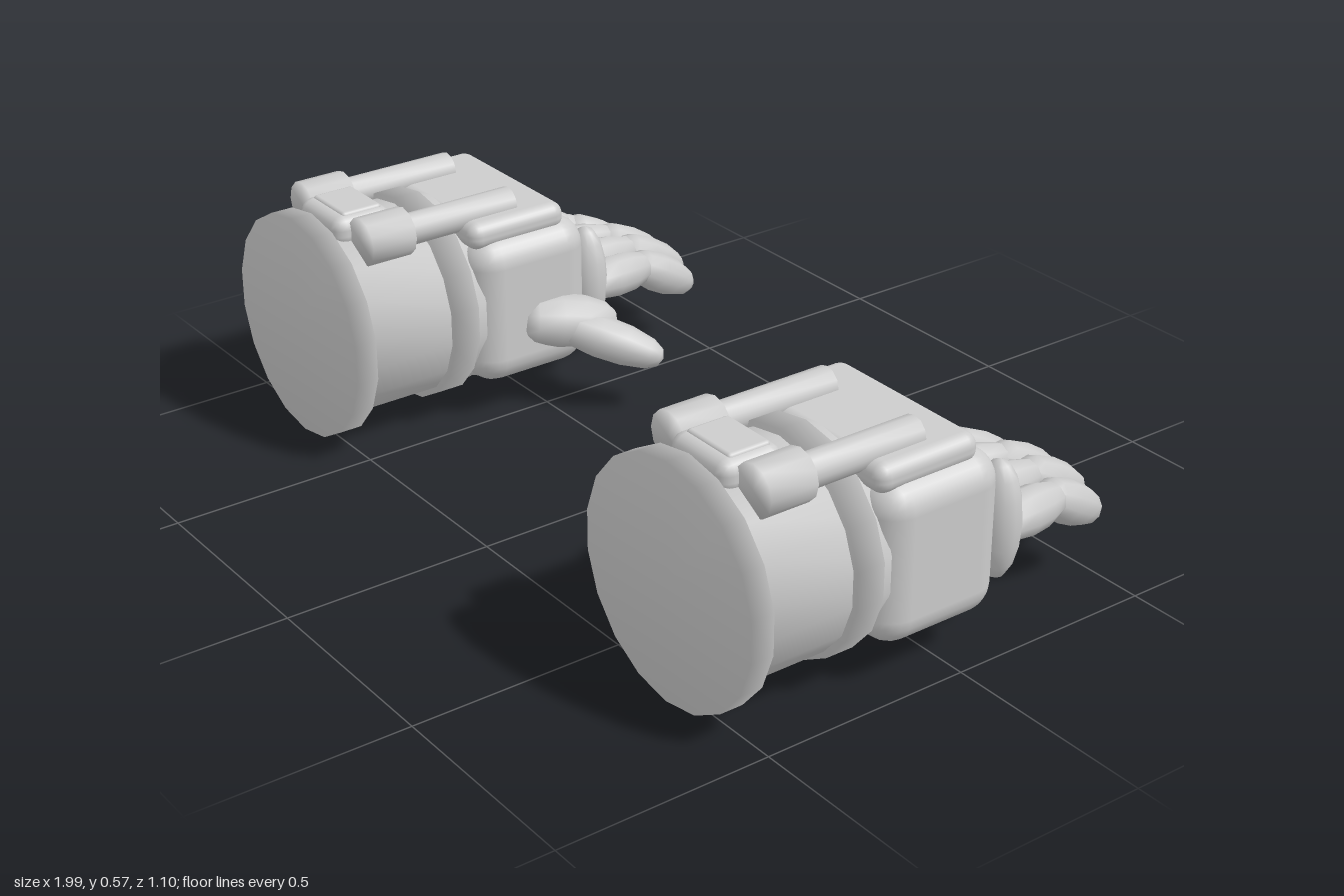
import * as THREE from 'three';
import { mergeVertices } from 'three/addons/utils/BufferGeometryUtils.js';
import { RoundedBoxGeometry } from 'three/addons/geometries/RoundedBoxGeometry.js';

const grey = new THREE.MeshStandardMaterial({ color: 0xcccccc });
grey.name = 'light grey';

// Share normals across edges for a soft, low-poly look
function soften(geometry) {
  geometry.deleteAttribute('uv');
  geometry.deleteAttribute('normal');
  const merged = mergeVertices(geometry, 1e-4);
  merged.computeVertexNormals();
  return merged;
}

function add(group, name, geometry, x, y, z) {
  const mesh = new THREE.Mesh(geometry, grey);
  mesh.name = name;
  mesh.position.set(x, y, z);
  group.add(mesh);
  return mesh;
}

// Cylinder lying along z between two depths
function barrel(group, name, radius, z0, z1, x, y, sides = 18) {
  const geometry = new THREE.CylinderGeometry(radius, radius, z1 - z0, sides).rotateX(Math.PI / 2);
  return add(group, name, soften(geometry), x, y, (z0 + z1) / 2);
}

// Rounded finger segment running from one point to another
const SEGMENT = [[0, 0], [0.62, 0.03], [0.86, 0.14], [1, 0.4], [0.95, 0.65], [0.72, 0.87], [0.42, 0.97], [0, 1]];
function segment(group, name, from, to, radius) {
  const a = new THREE.Vector3(...from);
  const dir = new THREE.Vector3(...to).sub(a);
  const length = dir.length();
  const points = SEGMENT.map(([r, t]) => new THREE.Vector2(r * radius, t * length));
  const mesh = add(group, name, soften(new THREE.LatheGeometry(points, 10)), ...from);
  mesh.quaternion.setFromUnitVectors(new THREE.Vector3(0, 1, 0), dir.normalize());
}

// Gauntlet centred on x = 0, thumb towards side * x
function makeGauntlet(side) {
  const hand = new THREE.Group();

  // Cuff
  barrel(hand, 'cuffFlange', 0.273, 0.49, 0.545, 0, 0.273);
  barrel(hand, 'cuff', 0.24, 0.17, 0.5, 0, 0.275);
  barrel(hand, 'wristRing', 0.254, 0.2, 0.268, 0, 0.275);

  // Palm block and back plate
  add(hand, 'palm', new RoundedBoxGeometry(0.5, 0.375, 0.32, 3, 0.07), 0, 0.275, 0.033);
  add(hand, 'backPlate', new RoundedBoxGeometry(0.434, 0.068, 0.265, 3, 0.03), 0, 0.471, 0.057);

  // Palm disc, two steps
  add(hand, 'palmDisc', soften(new THREE.CylinderGeometry(0.125, 0.125, 0.06, 18)), 0, 0.084, 0.04);
  add(hand, 'palmDiscCentre', soften(new THREE.CylinderGeometry(0.085, 0.085, 0.03, 18)), 0, 0.056, 0.04);

  // Pistons and their sockets on the back of the wrist
  for (const x of [-0.135, 0.135]) {
    barrel(hand, 'pistonRod', 0.038, 0.035, 0.34, x * 1.0, 0.507, 12);
    barrel(hand, 'pistonSocket', 0.058, 0.325, 0.44, x, 0.508, 12);
  }

  // Buckle between the sockets
  add(hand, 'buckle', new RoundedBoxGeometry(0.185, 0.075, 0.155, 2, 0.03), 0, 0.515, 0.4);
  add(hand, 'bucklePanel', new RoundedBoxGeometry(0.14, 0.02, 0.105, 2, 0.009), 0, 0.548, 0.395);

  // Fingers: knuckle x, joint x, tip x, joint z, tip z
  const fingers = [
    [-0.183, -0.15, -0.125, -0.375, -0.508],
    [-0.065, -0.05, -0.04, -0.41, -0.546],
    [0.053, 0.037, 0.038, -0.41, -0.546],
    [0.168, 0.138, 0.13, -0.375, -0.508],
  ];
  for (const [kx, jx, tx, jz, tz] of fingers) {
    const knuckle = new THREE.SphereGeometry(1, 12, 8).scale(0.056, 0.14, 0.05);
    add(hand, 'knuckle', knuckle, side * kx, 0.265, -0.163);
    segment(hand, 'fingerBase', [side * kx, 0.248, -0.16], [side * jx, 0.235, jz], 0.053);
    segment(hand, 'fingerTip', [side * jx, 0.252, jz + 0.05], [side * tx, 0.142, tz], 0.05);
  }

  // Thumb
  segment(hand, 'thumbBase', [side * 0.215, 0.235, 0.06], [side * 0.3, 0.2, -0.16], 0.066);
  segment(hand, 'thumbTip', [side * 0.25, 0.222, -0.02], [side * 0.43, 0.137, -0.205], 0.052);
  return hand;
}

export function createModel() {
  const model = new THREE.Group();
  model.name = 'gauntlets';
  for (const side of [1, -1]) {
    const hand = makeGauntlet(side);
    hand.name = side > 0 ? 'rightGauntlet' : 'leftGauntlet';
    hand.position.x = -side * 0.728;
    model.add(hand);
  }
  return model;
}
